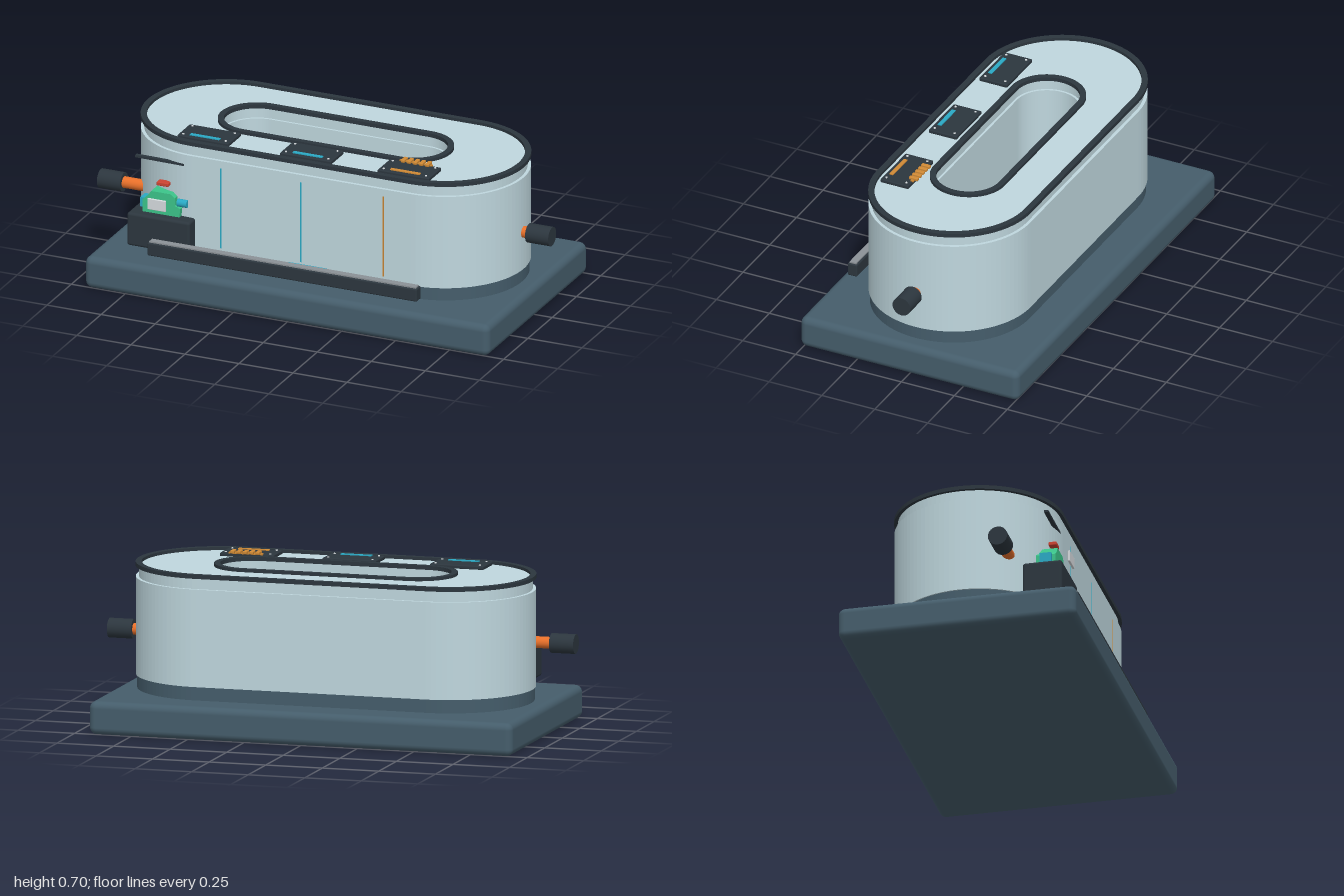
import * as THREE from 'three';
import { RoundedBoxGeometry } from 'three/addons/geometries/RoundedBoxGeometry.js';

const mat = (color) => new THREE.MeshStandardMaterial({ color });
const slate = mat(0x455d6b), pale = mat(0xbfd7de), dark = mat(0x2c363e), orange = mat(0xe8702a);
const green = mat(0x3cc48a), blue = mat(0x2aa9c4), red = mat(0xcc4433), white = mat(0xd5dadd);
const grey = mat(0x8b9196), amber = mat(0xd08a35);

// Stadium outline: half length of the straight run and end radius
function stadium(half, r, Type = THREE.Shape) {
  const s = new Type();
  s.moveTo(-half, -r);
  s.lineTo(half, -r);
  s.absarc(half, 0, r, -Math.PI / 2, Math.PI / 2, false);
  s.lineTo(-half, r);
  s.absarc(-half, 0, r, Math.PI / 2, Math.PI * 1.5, false);
  return s;
}

export function createModel() {
  const model = new THREE.Group();

  function add(name, geometry, material, x = 0, y = 0, z = 0, parent = model) {
    const mesh = new THREE.Mesh(geometry, material);
    mesh.name = name;
    mesh.position.set(x, y, z);
    parent.add(mesh);
    return mesh;
  }
  // Box given by its limits on each axis
  function box(name, material, [x0, x1], [y0, y1], [z0, z1], radius = 0, parent = model) {
    const size = [x1 - x0, y1 - y0, z1 - z0];
    const g = radius ? new RoundedBoxGeometry(...size, 3, radius) : new THREE.BoxGeometry(...size);
    return add(name, g, material, (x0 + x1) / 2, (y0 + y1) / 2, (z0 + z1) / 2, parent);
  }
  // Hollow stadium wall between two heights
  function ring(name, material, y0, y1, half, r, innerHalf, innerR) {
    const s = stadium(half, r);
    s.holes.push(stadium(innerHalf, innerR, THREE.Path));
    const g = new THREE.ExtrudeGeometry(s, { depth: y1 - y0, bevelEnabled: false, curveSegments: 24 });
    g.rotateX(-Math.PI / 2);
    return add(name, g, material, 0, y0, 0);
  }
  // Cylinder lying along x
  function rod(name, material, x0, x1, y, z, r) {
    const g = new THREE.CylinderGeometry(r, r, x1 - x0, 24).rotateZ(Math.PI / 2);
    return add(name, g, material, (x0 + x1) / 2, y, z);
  }

  // Base and ring-shaped tank
  box('base', slate, [-0.935, 0.935], [0, 0.142], [-0.516, 0.516], 0.03);
  ring('plinth', slate, 0.135, 0.2, 0.507, 0.355, 0.365, 0.145);
  ring('tankWall', pale, 0.2, 0.618, 0.507, 0.361, 0.365, 0.14);
  ring('tankCollar', pale, 0.618, 0.668, 0.507, 0.347, 0.365, 0.15);
  ring('outerRim', dark, 0.664, 0.681, 0.507, 0.362, 0.507, 0.336);
  ring('innerRim', dark, 0.664, 0.681, 0.365, 0.166, 0.365, 0.14);
  box('floorProbe', grey, [-0.475, -0.445], [0.14, 0.155], [0.015, 0.04]);

  // Side pipes with dark couplings
  rod('rightPipe', orange, -0.91, -0.78, 0.37, 0.195, 0.025);
  rod('rightCoupling', dark, -1, -0.893, 0.37, 0.195, 0.042);
  rod('leftPipe', orange, 0.85, 0.9, 0.37, 0, 0.025);
  rod('leftCoupling', dark, 0.893, 1, 0.37, 0, 0.042);

  // Thin coloured seams down the front
  [[-0.37, blue], [0, blue], [0.38, amber]].forEach(([x, m]) => {
    box('frontSeam', m, [x - 0.003, x + 0.003], [0.22, 0.585], [0.355, 0.3625]);
  });

  // Front rail and indicator strip
  box('rail', dark, [-0.665, 0.582], [0.176, 0.234], [0.421, 0.466], 0.006);
  box('railCap', grey, [-0.658, 0.575], [0.23, 0.24], [0.428, 0.459]);
  box('indicatorStrip', blue, [-0.06, 0.12], [0.203, 0.211], [0.358, 0.385]);

  // Pump unit: dark housing carrying a green body
  const pump = new THREE.Group();
  pump.name = 'pumpUnit';
  model.add(pump);
  box('pumpHousing', dark, [-0.78, -0.49], [0.186, 0.336], [0.25, 0.421], 0.012, pump);
  const outline = new THREE.Shape([
    [-0.725, 0.33], [-0.555, 0.33], [-0.55, 0.375], [-0.575, 0.385], [-0.575, 0.42],
    [-0.595, 0.435], [-0.685, 0.435], [-0.705, 0.405], [-0.725, 0.39],
  ].map(([x, y]) => new THREE.Vector2(x, y)));
  add('pumpBody', new THREE.ExtrudeGeometry(outline, { depth: 0.085, bevelEnabled: false }), green, 0, 0, 0.295, pump);
  box('pumpPanel', white, [-0.68, -0.595], [0.372, 0.422], [0.422, 0.432], 0.003, pump);
  box('pumpPort', blue, [-0.742, -0.72], [0.35, 0.392], [0.315, 0.365], 0, pump);
  const knob = new THREE.CylinderGeometry(0.017, 0.017, 0.045, 16).rotateZ(Math.PI / 2);
  add('pumpKnob', knob, blue, -0.545, 0.397, 0.365, pump);
  box('pumpSwitch', red, [-0.665, -0.61], [0.46, 0.477], [0.335, 0.37], 0.004, pump);
  const bar = box('pumpShelf', dark, [-0.768, -0.512], [0.566, 0.576], [0.341, 0.359], 0, pump);
  bar.rotation.z = -0.01;

  // Control plates on the deck, each with a strip and four screws
  [[-0.475, blue], [0, blue], [0.452, amber]].forEach(([x, accent]) => {
    const plate = new THREE.Group();
    plate.name = 'controlPlate';
    plate.position.x = x;
    model.add(plate);
    box('plate', dark, [-0.119, 0.119], [0.666, 0.683], [0.184, 0.316], 0.005, plate);
    box('plateStrip', accent, [-0.068, 0.068], [0.68, 0.687], [0.281, 0.299], 0, plate);
    for (const sx of [-1, 1]) for (const sz of [-1, 1]) {
      add('screw', new THREE.CylinderGeometry(0.005, 0.005, 0.005, 10), white, sx * 0.098, 0.684, 0.25 + sz * 0.047, plate);
    }
  });

  // Row of amber fins beside the inner opening
  for (let i = 0; i < 5; i++) {
    const x = 0.4 + i * 0.028;
    box('fin', amber, [x - 0.009, x + 0.009], [0.683, 0.697], [0.166, 0.207], 0.004);
  }
  box('finBar', amber, [0.38, 0.53], [0.681, 0.688], [0.18, 0.193]);

  return model;
}
